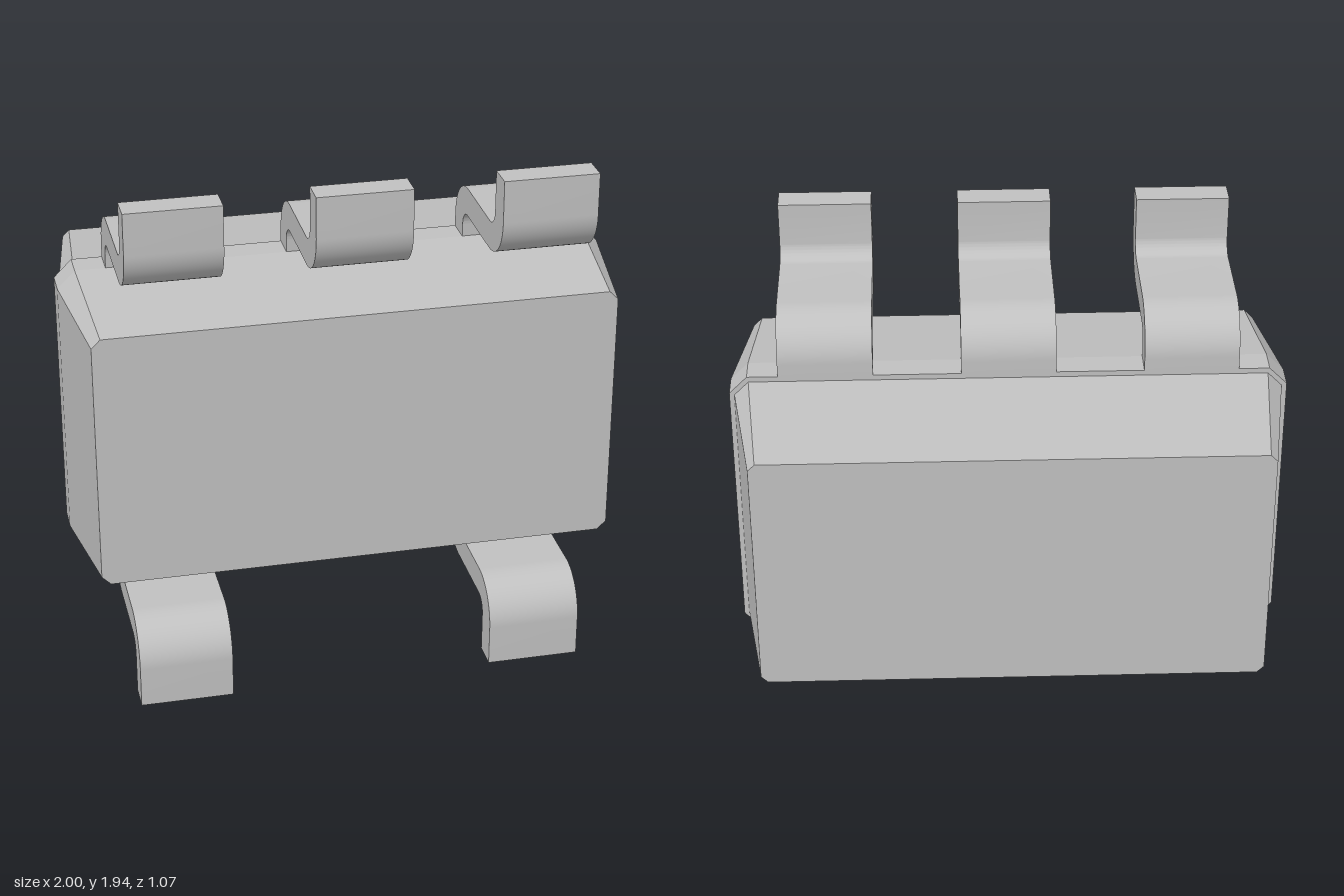
import * as THREE from 'three';
import { toCreasedNormals } from 'three/addons/utils/BufferGeometryUtils.js';

const CENTER_Y = 0.97;

// Chamfered rectangle, counter-clockwise seen from +z
function ring([z, hx, hy, c]) {
  return [
    [hx, -hy + c], [hx, hy - c], [hx - c, hy], [-hx + c, hy],
    [-hx, hy - c], [-hx, -hy + c], [-hx + c, -hy], [hx - c, -hy],
  ].map(([x, y]) => new THREE.Vector3(x, y, z));
}

// Closed loft through sections [z, halfWidth, halfHeight, chamfer], back to front
function loft(sections) {
  const rings = sections.map(ring);
  const points = [];
  for (let k = 0; k < rings.length - 1; k++) {
    const a = rings[k], b = rings[k + 1];
    for (let i = 0; i < 8; i++) {
      const j = (i + 1) % 8;
      points.push(a[i], a[j], b[j], a[i], b[j], b[i]);
    }
  }
  const back = rings[0], front = rings[rings.length - 1];
  for (let i = 1; i < 7; i++) {
    points.push(front[0], front[i], front[i + 1]);
    points.push(back[0], back[i + 1], back[i]);
  }
  const geometry = new THREE.BufferGeometry().setFromPoints(points);
  geometry.computeVertexNormals();
  return geometry;
}

// Gull-wing lead: side profile (z, y) with two bends, extruded across x
function leadGeometry() {
  const width = 0.34, inner = 0.06, outer = 0.163;
  const bendY = 0.597, footY = 0.818; // bend centre heights
  const bendZ = 0.082, footZ = 0.373; // bend centre depths
  const s = new THREE.Shape();
  s.moveTo(0.02, 0.545);
  s.lineTo(bendZ - inner, bendY);
  s.absarc(bendZ, bendY, inner, Math.PI, Math.PI / 2, true);
  s.absarc(footZ, footY, outer, -Math.PI / 2, 0, false);
  s.lineTo(footZ + outer, 0.97);
  s.lineTo(footZ + inner, 0.97);
  s.absarc(footZ, footY, inner, 0, -Math.PI / 2, true);
  s.absarc(bendZ, bendY, outer, Math.PI / 2, Math.PI, false);
  s.lineTo(bendZ - outer, 0.545);
  s.closePath();
  const geometry = new THREE.ExtrudeGeometry(s, { depth: width, bevelEnabled: false, curveSegments: 12 });
  geometry.translate(0, 0, -width / 2);
  geometry.rotateY(-Math.PI / 2);
  return toCreasedNormals(geometry, 0.5);
}

export function createModel() {
  const grey = new THREE.MeshStandardMaterial({ color: 0xc0c0c0 });
  grey.name = 'grey';

  const model = new THREE.Group();
  model.name = 'chipPackage';
  const add = (name, geometry) => {
    const mesh = new THREE.Mesh(geometry, grey);
    mesh.name = name;
    mesh.position.y = CENTER_Y;
    model.add(mesh);
    return mesh;
  };

  // Two tapered halves of the body, the back one slightly smaller
  add('bodyFront', loft([
    [-0.081, 1, 0.55, 0.065],
    [0.02, 1, 0.55, 0.065],
    [0.465, 0.94, 0.485, 0.032],
  ]));
  add('bodyBack', loft([
    [-0.535, 0.915, 0.468, 0.025],
    [-0.081, 0.982, 0.53, 0.052],
  ]));

  // Three leads on top, two below
  const lead = leadGeometry();
  for (const x of [-0.655, 0, 0.655]) {
    add('topLead', lead).position.x = x;
  }
  for (const x of [-0.655, 0.655]) {
    const mesh = add('bottomLead', lead);
    mesh.position.x = x;
    mesh.rotation.z = Math.PI;
  }
  return model;
}
